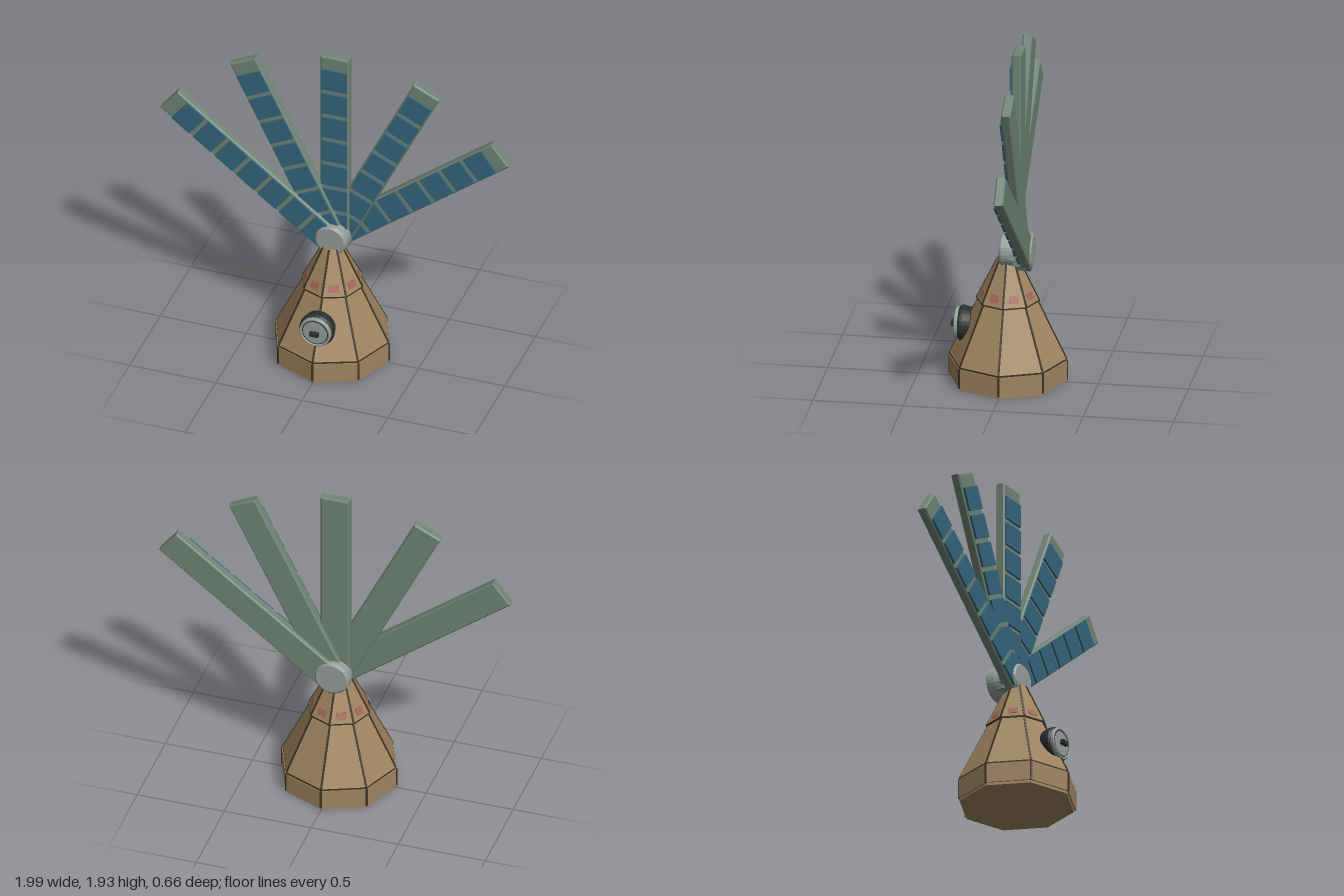
import * as THREE from 'three';

const mat = (name, color, flat = false) => {
  const m = new THREE.MeshStandardMaterial({ color, flatShading: flat });
  m.name = name;
  return m;
};

export function createModel() {
  const model = new THREE.Group();
  const brown = mat('tan body', 0xa08560, true);
  const seamBrown = mat('dark seam', 0x3f3426, true);
  const red = mat('faded red', 0xa4665a);
  const green = mat('sage frame', 0x718577);
  const teal = mat('teal panel', 0x35667c);
  const grey = mat('grey metal', 0x979d9b);
  const dark = mat('dark rubber', 0x2c3030);

  const add = (name, geo, material, parent = model) => {
    const mesh = new THREE.Mesh(geo, material);
    mesh.name = name;
    parent.add(mesh);
    return mesh;
  };

  // Octagonal body, stacked from tapered rings: [name, y0, r0, y1, r1, material]
  const rings = [
    ['foot', 0, 0.32, 0.015, 0.32, brown],
    ['plinth', 0.015, 0.33, 0.127, 0.33, brown],
    ['plinthSeam', 0.127, 0.326, 0.137, 0.326, seamBrown],
    ['lowerCone', 0.137, 0.325, 0.465, 0.167, brown],
    ['coneSeam', 0.465, 0.176, 0.473, 0.176, seamBrown],
    ['upperCone', 0.473, 0.174, 0.71, 0.058, brown],
  ];
  for (const [name, y0, r0, y1, r1, m] of rings) {
    add(name, new THREE.CylinderGeometry(r1, r0, y1 - y0, 8), m).position.y = (y0 + y1) / 2;
    if (m !== brown || name === 'foot') continue;
    // Dark strips along the eight corners of each ring
    for (let i = 0; i < 8; i++) {
      const corner = new THREE.Group();
      corner.rotation.y = i * Math.PI / 4;
      const strip = add('cornerSeam',
        new THREE.BoxGeometry(0.011, Math.hypot(y1 - y0, r1 - r0), 0.008), seamBrown, corner);
      strip.position.set(0, (y0 + y1) / 2, (r0 + r1) / 2 - 0.002);
      strip.rotation.x = Math.atan2(r1 - r0, y1 - y0);
      model.add(corner);
    }
  }

  // Red markers, one on each face of the upper cone
  const markShape = new THREE.Shape();
  const w = 0.028, h = 0.021, c = 0.007;
  markShape.moveTo(-w + c, -h).lineTo(w - c, -h).quadraticCurveTo(w, -h, w, -h + c)
    .lineTo(w, h - c).quadraticCurveTo(w, h, w - c, h)
    .lineTo(-w + c, h).quadraticCurveTo(-w, h, -w, h - c)
    .lineTo(-w, -h + c).quadraticCurveTo(-w, -h, -w + c, -h);
  const markGeo = new THREE.ExtrudeGeometry(markShape, { depth: 0.005, bevelEnabled: false, curveSegments: 3 });
  const apothem = Math.cos(Math.PI / 8);
  for (let i = 0; i < 8; i++) {
    const side = new THREE.Group();
    side.rotation.y = (i + 0.5) * Math.PI / 4;
    const mark = add('redMarker', markGeo, red, side);
    const y = 0.512, r = 0.174 - (y - 0.473) * 0.116 / 0.237;
    mark.position.set(0, y, r * apothem - 0.002);
    mark.rotation.x = -Math.atan2(0.116 * apothem, 0.237);
    model.add(side);
  }

  // Round fitting turned around the z axis: profile points are [radius, z]
  const turned = (name, pts, m, y) => {
    const shape = pts.map(([r, z]) => new THREE.Vector2(r, z));
    const geo = new THREE.LatheGeometry(shape, 28).toNonIndexed();
    geo.computeVertexNormals();
    geo.rotateX(Math.PI / 2);
    add(name, geo, m).position.y = y;
  };

  // Hub through the blades
  turned('hub', [[0, -0.143], [0.088, -0.143], [0.1, -0.132], [0.1, -0.09],
    [0.092, -0.06], [0.092, 0.028], [0.08, 0.042], [0, 0.042]], grey, 0.757);

  // Dial on the front of the cone
  turned('dialRing', [[0, 0.2], [0.09, 0.2], [0.1, 0.242], [0.1, 0.258], [0.092, 0.268], [0, 0.268]], dark, 0.31);
  turned('dialFace', [[0, 0.26], [0.09, 0.26], [0.09, 0.284], [0.086, 0.289],
    [0.08, 0.289], [0.076, 0.284], [0, 0.284]], grey, 0.31);
  turned('dialGroove', [[0.07, 0.2835], [0.075, 0.2835], [0.075, 0.286], [0.07, 0.286]], dark, 0.31);
  add('dialSlot', new THREE.BoxGeometry(0.052, 0.024, 0.02), dark).position.set(0, 0.31, 0.304);
  add('dialStem', new THREE.BoxGeometry(0.025, 0.014, 0.02), dark).position.set(0, 0.31, 0.288);

  // Five fanned blades, each stepped back behind its neighbour
  const bevel = 0.008, bw = 0.083 - bevel, t0 = -0.045, t1 = 1.195;
  const bladeShape = new THREE.Shape();
  bladeShape.moveTo(-bw, t0 + bevel).lineTo(bw, t0 + bevel).lineTo(bw, t1 - bevel).lineTo(-bw, t1 - bevel);
  const bladeGeo = new THREE.ExtrudeGeometry(bladeShape, {
    depth: 0.053 - 2 * bevel, bevelEnabled: true, bevelSize: bevel, bevelThickness: bevel, bevelSegments: 1,
  });
  bladeGeo.translate(0, 0, bevel);
  const panelGeo = new THREE.BoxGeometry(0.148, 0.131, 0.014);
  for (let i = -2; i <= 2; i++) {
    const blade = new THREE.Group();
    blade.name = 'blade';
    blade.position.set(0, 0.735, -0.0845 - 0.0248 * i);
    blade.rotation.z = -i * THREE.MathUtils.degToRad(26.1);
    add('bladeFrame', bladeGeo, green, blade);
    for (let k = 0; k < 7; k++) {
      add('solarPanel', panelGeo, teal, blade).position.set(0, 1.048 - 0.158 * k, 0.058);
    }
    model.add(blade);
  }
  return model;
}
